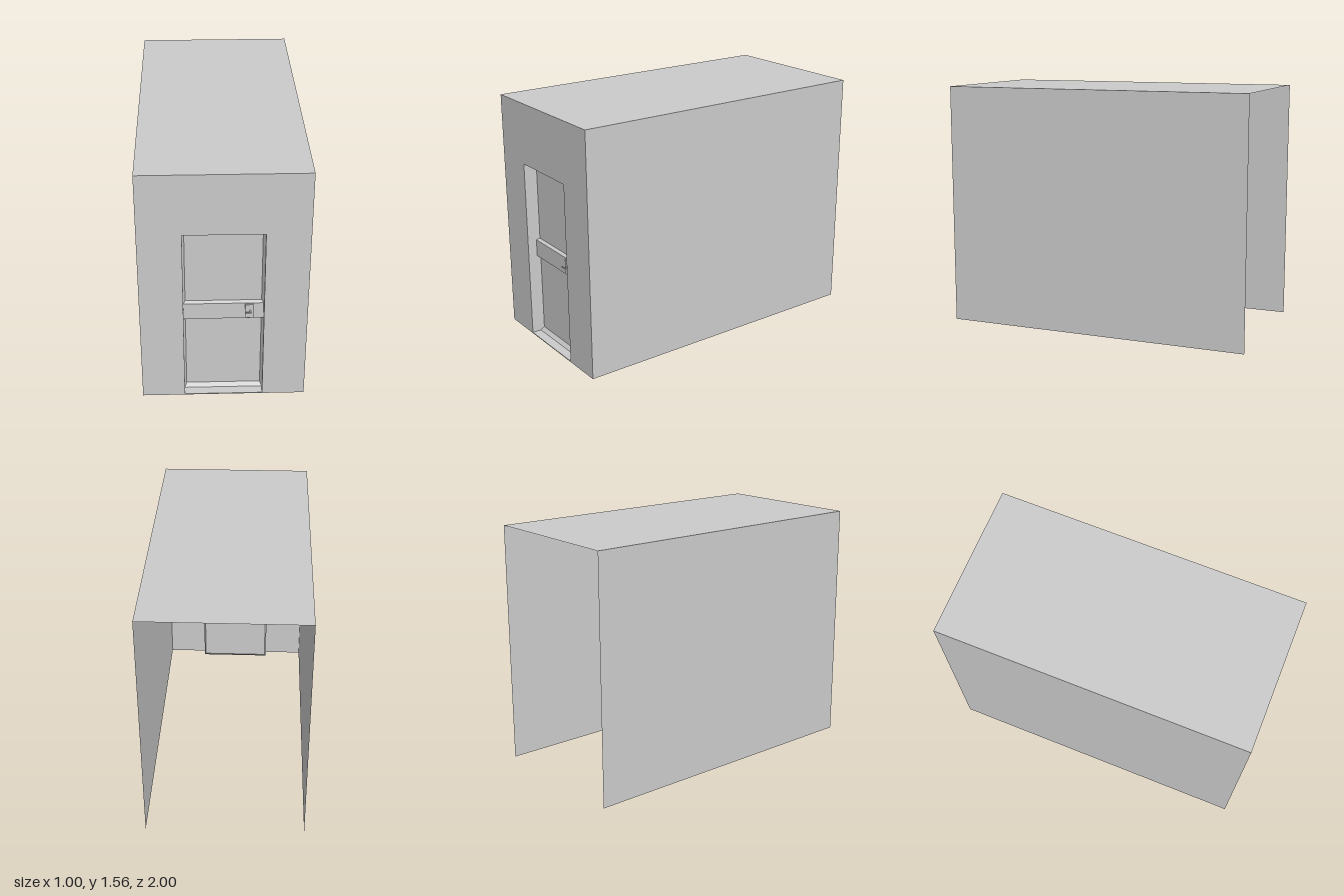
import * as THREE from 'three';

const W = 0.5, H = 1.56, D = 1;              // half width, height, half depth
const DOOR = { x: 0.24, y0: 0.006, y1: 1.17 }; // door opening
const RECESS = D - 0.06;                      // z of the door face

const material = new THREE.MeshStandardMaterial({
  color: 0xcccccc, side: THREE.DoubleSide, flatShading: true,
});

function add(parent, name, geometry, x = 0, y = 0, z = 0) {
  const mesh = new THREE.Mesh(geometry, material);
  mesh.name = name;
  mesh.position.set(x, y, z);
  parent.add(mesh);
  return mesh;
}

// Four corners, counter-clockwise from the lower left
const rect = (x0, x1, y0, y1, z) => [[x0, y0, z], [x1, y0, z], [x1, y1, z], [x0, y1, z]];

// Ring of four quads from one rectangle back to another, optionally closed
function recessGeometry(outer, inner, closed) {
  const index = [];
  for (let i = 0; i < 4; i++) {
    const j = (i + 1) % 4;
    index.push(i, j, 4 + j, i, 4 + j, 4 + i);
  }
  if (closed) index.push(4, 5, 6, 4, 6, 7);
  const indexed = new THREE.BufferGeometry();
  indexed.setAttribute('position', new THREE.Float32BufferAttribute([...outer, ...inner].flat(), 3));
  indexed.setIndex(index);
  const geometry = indexed.toNonIndexed();
  geometry.computeVertexNormals();
  return geometry;
}

export function createModel() {
  const model = new THREE.Group();
  model.name = 'buildingShell';

  // Roof and side walls; the back and the bottom stay open
  add(model, 'roof', new THREE.PlaneGeometry(2 * W, 2 * D).rotateX(-Math.PI / 2), 0, H, 0);
  for (const [name, s] of [['leftWall', 1], ['rightWall', -1]]) {
    add(model, name, new THREE.PlaneGeometry(2 * D, H).rotateY(s * Math.PI / 2), s * W, H / 2, 0);
  }

  // Front wall with the door opening
  const wall = new THREE.Shape([[-W, 0], [W, 0], [W, H], [-W, H]].map(p => new THREE.Vector2(...p)));
  const opening = rect(-DOOR.x, DOOR.x, DOOR.y0, DOOR.y1, D);
  wall.holes.push(new THREE.Path(opening.map(([x, y]) => new THREE.Vector2(x, y))));
  add(model, 'frontWall', new THREE.ShapeGeometry(wall), 0, 0, D);

  // Door: jamb, two bevelled panels and the rail between them
  const door = new THREE.Group();
  door.name = 'door';
  model.add(door);
  add(door, 'doorJamb', recessGeometry(
    opening, rect(-DOOR.x, DOOR.x, DOOR.y0, DOOR.y1, RECESS), false));
  const panels = [
    ['upperPanel', 0.65, 1.17, 0.66, 1.155],
    ['lowerPanel', DOOR.y0, 0.54, 0.03, 0.53],
  ];
  for (const [name, y0, y1, in0, in1] of panels) {
    add(door, name, recessGeometry(
      rect(-DOOR.x, DOOR.x, y0, y1, RECESS),
      rect(-0.229, 0.229, in0, in1, RECESS - 0.02), true));
  }
  add(door, 'middleRail', new THREE.PlaneGeometry(2 * DOOR.x, 0.11), 0, 0.595, RECESS);

  // Lock plate with a short stem and lever
  add(door, 'lockPlate', new THREE.BoxGeometry(0.05, 0.096, 0.01), 0.155, 0.596, RECESS + 0.005);
  add(door, 'handleStem', new THREE.BoxGeometry(0.008, 0.008, 0.02), 0.16, 0.6, RECESS + 0.02);
  add(door, 'handleLever', new THREE.BoxGeometry(0.036, 0.008, 0.007), 0.147, 0.6, RECESS + 0.03);

  return model;
}
